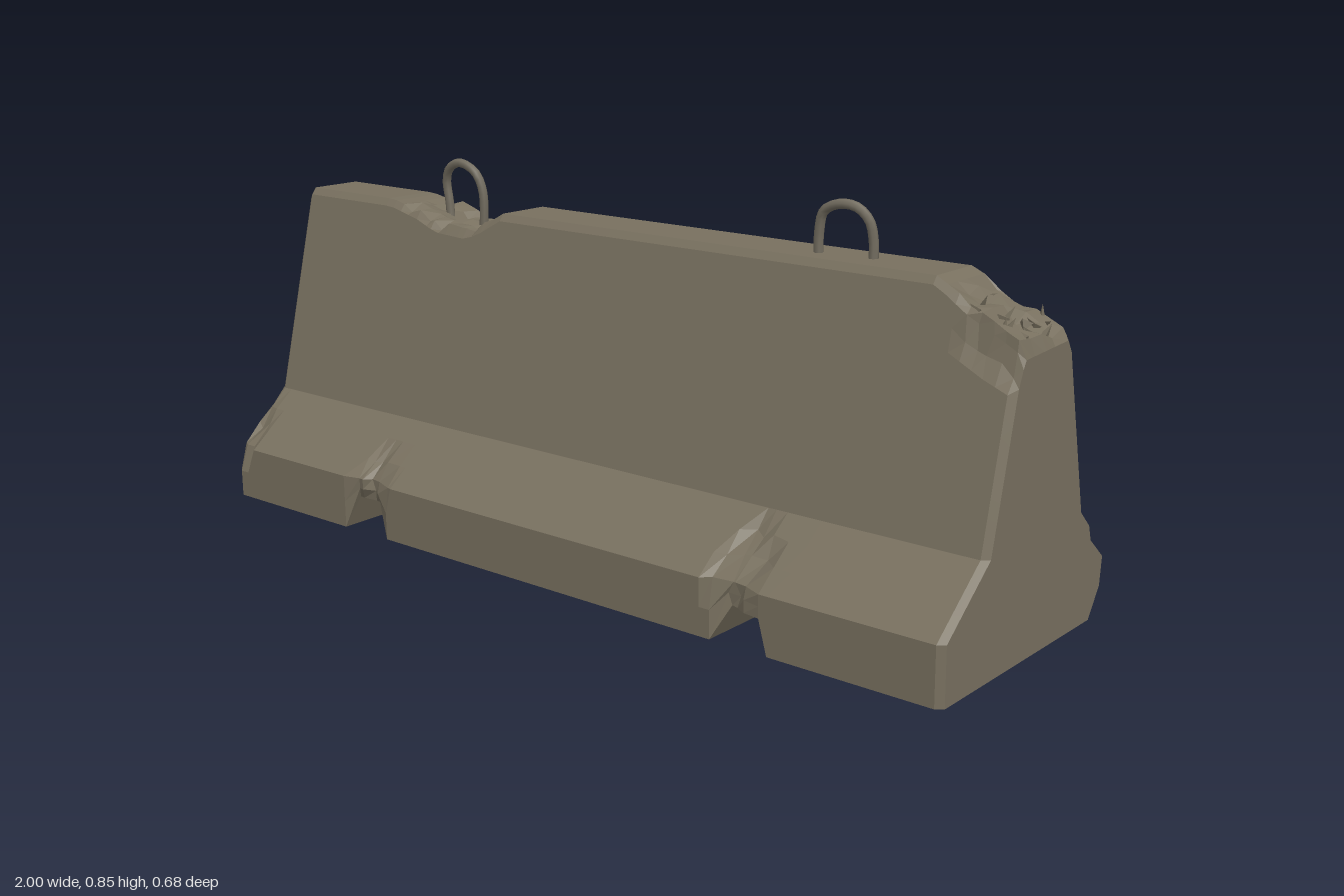
import * as THREE from 'three';

const concrete = new THREE.MeshStandardMaterial({ color: 0x78705f, flatShading: true });
concrete.name = 'weathered concrete';
const steel = new THREE.MeshStandardMaterial({ color: 0x736d60 });
steel.name = 'dull steel';

// Seeded random numbers for the broken areas
let seed = 7;
const rnd = () => {
  seed = (seed * 16807) % 2147483647;
  return seed / 2147483647;
};

// Linear interpolation through [position, value] points
function curve(points, t) {
  if (t <= points[0][0]) return points[0][1];
  for (let i = 1; i < points.length; i++) {
    const [a, va] = points[i - 1], [b, vb] = points[i];
    if (t <= b) return va + ((vb - va) * (t - a)) / (b - a);
  }
  return points[points.length - 1][1];
}

const HALF_WIDTH = [[0, 0.338], [0.125, 0.34], [0.245, 0.192], [0.72, 0.078], [0.74, 0.074]];
const TOP = [[-1, 0.722], [-0.985, 0.735], [-0.7, 0.734], [-0.6, 0.712], [-0.54, 0.69], [-0.44, 0.685],
  [-0.4, 0.7], [-0.34, 0.736], [0.8, 0.736], [0.86, 0.7], [0.93, 0.66], [0.985, 0.635], [1, 0.605]];
const BOTTOM = [[-0.605, 0], [-0.57, 0.075], [-0.505, 0.075], [-0.465, 0],
  [0.47, 0], [0.505, 0.075], [0.59, 0.075], [0.61, 0]];

// Broken patches: side (+1 front, -1 back), centre x, y, radii x, y, depth
const CHIPS = [
  [-1, -0.62, 0.6, 0.31, 0.16, 0.036],
  [-1, -0.45, 0.7, 0.14, 0.09, 0.03],
  [-1, 0.83, 0.6, 0.1, 0.1, 0.022],
  [-1, 1.0, 0.08, 0.15, 0.13, 0.085],
  [-1, -0.55, 0.11, 0.08, 0.07, 0.03],
  [-1, 0.53, 0.11, 0.08, 0.07, 0.03],
  [1, -0.53, 0.11, 0.07, 0.06, 0.025],
  [1, 0.52, 0.14, 0.06, 0.09, 0.022],
  [1, -1.0, 0.15, 0.06, 0.06, 0.025],
  [1, 0.96, 0.63, 0.09, 0.06, 0.014],
];

// Cross-section at x: up the front, over the top, down the back
function section(x) {
  const bottom = curve(BOTTOM, x), top = curve(TOP, x);
  const inset = Math.abs(x) > 0.999 ? 0.012 : 0;
  const rows = [bottom, (bottom + 0.125) / 2, 0.125, 0.165, 0.205, 0.245];
  for (let k = 1; k <= 10; k++) rows.push(0.245 + ((top - 0.016 - 0.245) * k) / 10);

  const sidePoint = (y, side) => {
    let z = curve(HALF_WIDTH, y) - inset, px = x, py = y, push = 0;
    for (const [s, cx, cy, rx, ry, depth] of CHIPS) {
      const w = 1 - ((x - cx) / rx) ** 2 - ((y - cy) / ry) ** 2;
      if (s === side && w > 0) push = Math.max(push, depth * Math.min(1, 3 * w) * (0.35 + 0.8 * rnd()));
    }
    if (push > 0) {
      z -= push;
      if (Math.abs(x) < 0.98) px += (rnd() - 0.5) * 0.018;
      if (y > 0.13 && y < top - 0.03) py += (rnd() - 0.5) * 0.02;
    }
    return [px, py, z * side];
  };

  const h = curve(HALF_WIDTH, top - 0.016) - inset;
  const broken = top < 0.72 ? 0.024 : 0;
  const crown = [0.84, 0.42, 0, -0.42, -0.84].map(f =>
    [x, top + (rnd() - 0.6) * broken, h * f]);
  return [
    ...rows.map(y => sidePoint(y, 1)),
    ...crown,
    ...rows.reverse().map(y => sidePoint(y, -1)),
  ];
}

// Barrier body lofted through its cross-sections
function makeBody() {
  const keys = [-1, -0.985, ...BOTTOM.map(p => p[0]), 0.985, 1];
  const stations = [...keys];
  for (let x = -0.96; x < 0.97; x += 0.027) {
    if (keys.every(k => Math.abs(k - x) > 0.012)) stations.push(x);
  }
  stations.sort((a, b) => a - b);

  const rings = stations.map(section);
  const n = rings[0].length, last = rings.length - 1;
  const index = [];
  const quad = (a, b, c, d) => index.push(a, b, c, a, c, d);
  for (let i = 0; i < last; i++) {
    for (let j = 0; j < n; j++) {
      const k = (j + 1) % n;
      quad(i * n + j, (i + 1) * n + j, (i + 1) * n + k, i * n + k);
    }
  }
  // End walls, strip by strip from front to back
  const e = last * n;
  for (let j = 0; j < (n - 1) / 2; j++) {
    quad(e + j, e + n - 1 - j, e + n - 2 - j, e + j + 1);
    quad(n - 1 - j, j, j + 1, n - 2 - j);
  }
  const geometry = new THREE.BufferGeometry();
  geometry.setAttribute('position', new THREE.Float32BufferAttribute(rings.flat(2), 3));
  geometry.setIndex(index);
  geometry.computeVertexNormals();
  const mesh = new THREE.Mesh(geometry, concrete);
  mesh.name = 'barrierBody';
  return mesh;
}

// Splinters of concrete scattered inside a box
function makeShards(name, count, min, max, size) {
  const group = new THREE.Group();
  group.name = name;
  for (let i = 0; i < count; i++) {
    const shard = new THREE.Mesh(new THREE.ConeGeometry(size * 0.3, size * (0.7 + 0.6 * rnd()), 3), concrete);
    shard.name = 'shard';
    const t = rnd();
    shard.position.set(
      min[0] + (max[0] - min[0]) * t,
      min[1] + (max[1] - min[1]) * t,
      min[2] + (max[2] - min[2]) * rnd());
    shard.rotation.set((rnd() - 0.5) * 2.4, rnd() * 6, (rnd() - 0.5) * 2.4);
    group.add(shard);
  }
  return group;
}

// Bent lifting loop
function makeLoop(name, points) {
  const path = new THREE.CatmullRomCurve3(points.map(p => new THREE.Vector3(...p)));
  const mesh = new THREE.Mesh(new THREE.TubeGeometry(path, 24, 0.0105, 7), steel);
  mesh.name = name;
  return mesh;
}

export function createModel() {
  seed = 7;
  const model = new THREE.Group();
  model.name = 'concreteBarrier';
  model.add(makeBody());

  model.add(makeLoop('rightLiftingLoop', [
    [-0.572, 0.66, 0], [-0.578, 0.73, 0], [-0.582, 0.785, 0.004], [-0.562, 0.818, 0.01],
    [-0.525, 0.83, 0.012], [-0.482, 0.812, 0.01], [-0.464, 0.77, 0.004], [-0.466, 0.66, 0]]));
  model.add(makeLoop('leftLiftingLoop', [
    [0.486, 0.71, 0.008], [0.488, 0.78, 0.01], [0.5, 0.822, 0.013], [0.535, 0.84, 0.014],
    [0.575, 0.837, 0.01], [0.6, 0.812, 0.002], [0.608, 0.77, -0.004], [0.608, 0.71, -0.004]]));

  model.add(makeShards('brokenTopCorner', 14, [0.85, 0.695, -0.075], [0.98, 0.635, 0.07], 0.045));
  model.add(makeShards('brokenBackPatch', 10, [-0.85, 0.6, -0.1], [-0.4, 0.62, -0.085], 0.04));
  model.add(makeShards('brokenFoot', 7, [0.9, 0.13, -0.3], [0.97, 0.06, -0.27], 0.05));
  return model;
}
